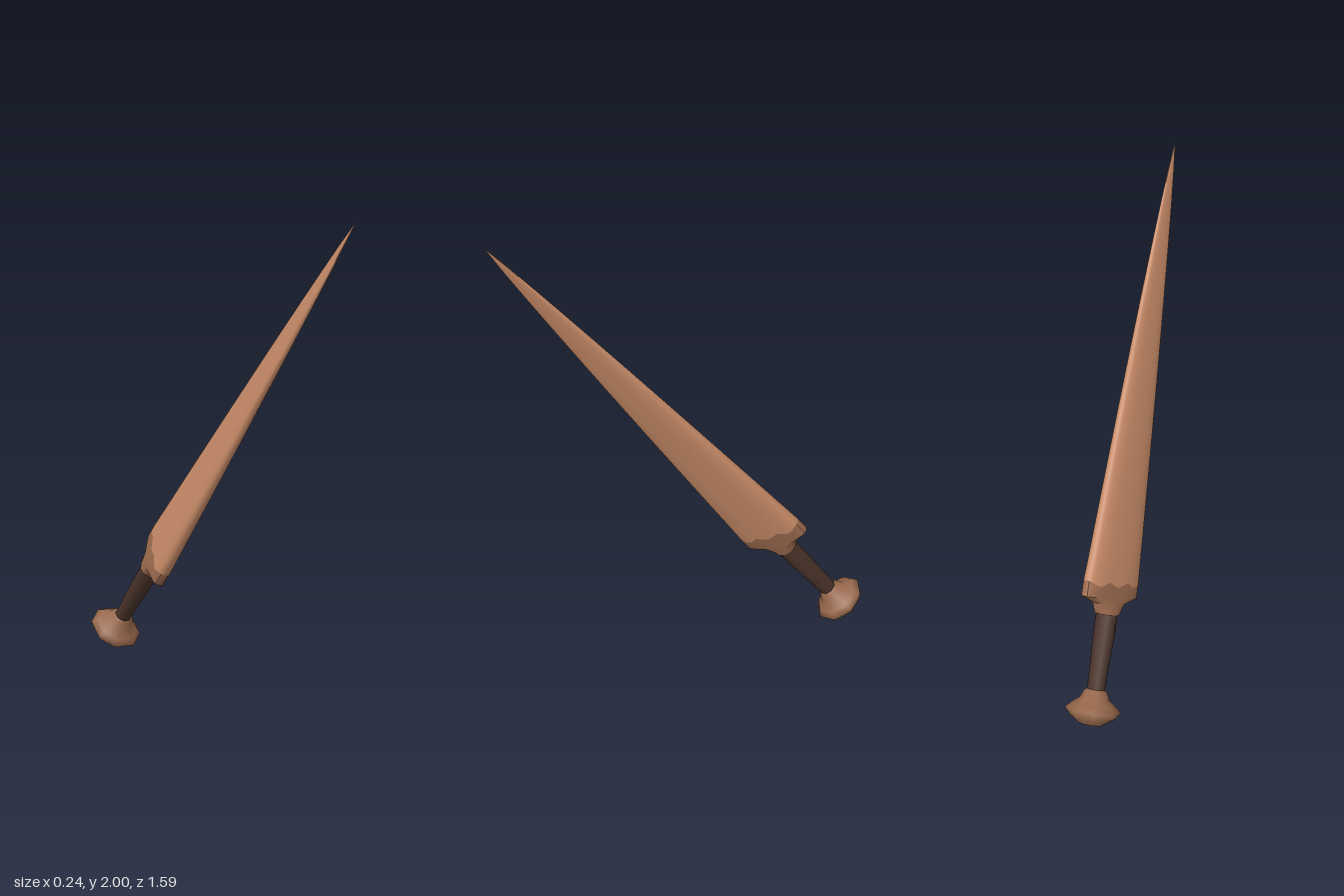
import * as THREE from 'three';
import { toCreasedNormals } from 'three/addons/utils/BufferGeometryUtils.js';

const SIDES = 24;
const material = (name, color) => new THREE.MeshStandardMaterial({ name, color });

// Flattened oval section with blunt edges, joined through a list of rings:
// { y, w: half width, t: half thickness, wave: true for the scalloped seam }
function loft(rings, crease) {
  const pos = [], index = [];
  const soft = (v) => Math.sign(v) * Math.pow(Math.abs(v), 0.75);
  for (const { y, w, t, wave } of rings) {
    for (let j = 0; j < SIDES; j++) {
      const a = (j / SIDES) * Math.PI * 2;
      const u = soft(Math.cos(a));
      const dy = wave ? -0.011 * Math.cos(3 * Math.PI * u) : 0;
      pos.push(w * u, y + dy, t * soft(Math.sin(a)));
    }
  }
  for (let i = 0; i < rings.length - 1; i++) {
    for (let j = 0; j < SIDES; j++) {
      const a = i * SIDES + j, b = i * SIDES + ((j + 1) % SIDES);
      index.push(a, a + SIDES, b, b, a + SIDES, b + SIDES);
    }
  }
  const g = new THREE.BufferGeometry();
  g.setAttribute('position', new THREE.Float32BufferAttribute(pos, 3));
  g.setIndex(index);
  return toCreasedNormals(g, crease);
}

const lathe = (points) =>
  new THREE.LatheGeometry(points.map(([r, y]) => new THREE.Vector2(r, y)), 8);

export function createModel() {
  const bronze = material('bladeBronze', 0xc68a67);
  const darkBronze = material('fittingBronze', 0x99694d);
  const leather = material('gripBrown', 0x49332a);

  const dagger = new THREE.Group();
  dagger.name = 'dagger';
  const add = (name, geometry, mat) => {
    const mesh = new THREE.Mesh(geometry, mat);
    mesh.name = name;
    dagger.add(mesh);
  };

  // Blade: tapers with a slight belly to a sharp point
  const bladeRings = [];
  const base = 0.055, tip = 1.949, steps = 14;
  for (let i = 0; i <= steps; i++) {
    const k = i / steps;
    const taper = Math.max(Math.pow(1 - k, 0.82), 0.002);
    bladeRings.push({
      y: base + (tip - base) * k, w: 0.165 * taper, t: 0.044 * taper, wave: i === 0,
    });
  }
  add('blade', loft(bladeRings, 0.7), bronze);

  // Guard: flares from the grip to the full blade width
  add('guard', loft([
    { y: -0.076, w: 0.03, t: 0.03 },
    { y: -0.074, w: 0.05, t: 0.046 },
    { y: -0.028, w: 0.08, t: 0.047 },
    { y: 0, w: 0.165, t: 0.045 },
    { y: base, w: 0.165, t: 0.044, wave: true },
  ], 0.6), darkBronze);

  // Grip: slightly slimmer toward the pommel
  add('grip', lathe([[0.038, -0.42], [0.041, -0.3], [0.046, -0.18], [0.046, -0.06]]), leather);

  // Pommel: flared octagonal knob with a domed end
  add('pommel', lathe([
    [0.0001, -0.556], [0.055, -0.546], [0.096, -0.517], [0.121, -0.487],
    [0.098, -0.465], [0.064, -0.438], [0.05, -0.405], [0.036, -0.395],
  ]), darkBronze);

  // Lean the dagger: local y runs along the blade, local x across it
  const along = new THREE.Vector3(-0.019, 0.788, 0.616).normalize();
  const across = new THREE.Vector3(0.52, 0.535, -0.66);
  const face = across.clone().cross(along).normalize();
  across.crossVectors(along, face);
  dagger.quaternion.setFromRotationMatrix(new THREE.Matrix4().makeBasis(across, along, face));
  dagger.position.set(-0.008, 0.465, -0.408);

  const model = new THREE.Group();
  model.name = 'model';
  model.add(dagger);
  return model;
}
